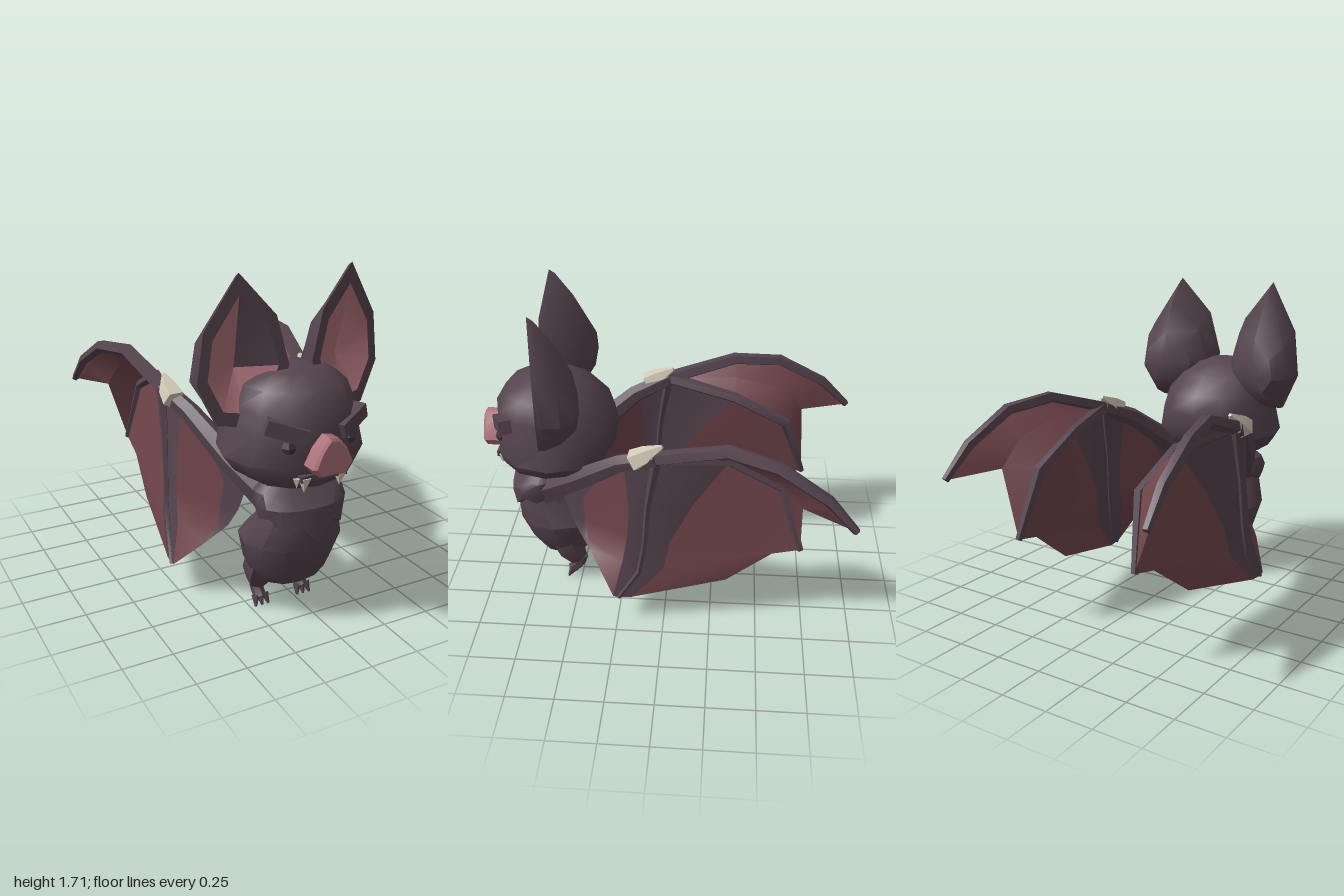
import * as THREE from 'three';
import { toCreasedNormals } from 'three/addons/utils/BufferGeometryUtils.js';

const V = (x, y, z) => new THREE.Vector3(x, y, z);

// Geometry from points and triangle indices
function build(points, index) {
  const g = new THREE.BufferGeometry().setFromPoints(points);
  g.setIndex(index);
  return g;
}

// Skin over closed rings, with fan caps at the ends
function loft(rings, capStart = true) {
  const n = rings[0].length, pts = rings.flat(), idx = [];
  for (let r = 0; r < rings.length - 1; r++) for (let i = 0; i < n; i++) {
    const a = r * n + i, b = r * n + (i + 1) % n;
    idx.push(a, b, b + n, a, b + n, a + n);
  }
  const cap = (ring, base, flip) => {
    const c = pts.push(ring.reduce((s, p) => s.add(p), V(0, 0, 0)).divideScalar(n)) - 1;
    for (let i = 0; i < n; i++) {
      const a = base + i, b = base + (i + 1) % n;
      idx.push(c, flip ? b : a, flip ? a : b);
    }
  };
  if (capStart) cap(rings[0], 0, true);
  cap(rings.at(-1), (rings.length - 1) * n, false);
  return build(pts, idx);
}

// Rounded-square horizontal ring: height, half width, back z, front z
function ring([y, w, zb, zf], n, power, dy = () => 0) {
  const sp = v => Math.sign(v) * Math.abs(v) ** power;
  return Array.from({ length: n }, (_, i) => {
    const t = i / n * Math.PI * 2;
    return V(w * sp(Math.sin(t)), y + dy(i), (zb + zf) / 2 + (zf - zb) / 2 * sp(Math.cos(t)));
  });
}

// Tapered limb along a path
function limb(path, radii, n = 6) {
  return loft(path.map((p, k) => {
    const t = path[Math.min(k + 1, path.length - 1)].clone().sub(path[Math.max(k - 1, 0)]).normalize();
    const u = t.clone().cross(V(1, 0, 0)).normalize(), v = t.clone().cross(u);
    return Array.from({ length: n }, (_, i) => {
      const a = i / n * Math.PI * 2;
      return p.clone().addScaledVector(u, radii[k] * Math.cos(a)).addScaledVector(v, radii[k] * Math.sin(a));
    });
  }));
}

// Open sheet between neighbouring polylines
function sheet(...lines) {
  const n = lines[0].length, idx = [];
  for (let l = 0; l < lines.length - 1; l++) for (let i = 0; i < n - 1; i++) {
    const a = l * n + i, b = a + n;
    idx.push(a, b, a + 1, b, b + 1, a + 1);
  }
  return build(lines.flat(), idx);
}

export function createModel() {
  const material = (name, color) => {
    const m = new THREE.MeshStandardMaterial({ color });
    m.name = name;
    return m;
  };
  const fur = material('plumFur', 0x55444e), skin = material('wingRed', 0x70454b);
  const pink = material('pinkSkin', 0xac7178), bone = material('bone', 0xd0c9b6);
  const dark = material('eyeDark', 0x40343c);
  fur.side = skin.side = THREE.DoubleSide;

  const model = new THREE.Group();
  const root = new THREE.Group();
  root.name = 'bat';
  root.position.x = -0.07;
  model.add(root);

  // Adds a part; side -1 mirrors it across x
  const add = (name, geo, mat, side = 1, crease = 0.65) => {
    if (side < 0) {
      geo.scale(-1, 1, 1);
      geo.index.array.reverse();
    }
    const mesh = new THREE.Mesh(toCreasedNormals(geo, crease), mat);
    mesh.name = name;
    root.add(mesh);
  };

  // Head
  add('head', loft([
    [0.71, 0.12, 0.5, 0.74], [0.755, 0.23, 0.43, 0.87], [0.8, 0.3, 0.34, 0.91], [0.87, 0.35, 0.29, 0.925],
    [1.0, 0.315, 0.27, 0.925], [1.1, 0.29, 0.3, 0.92], [1.2, 0.25, 0.4, 0.86], [1.26, 0.16, 0.5, 0.76], [1.28, 0.06, 0.6, 0.69],
  ].map(r => ring(r, 12, 0.95))), fur, 1, 0.8);

  // Body and chest ruff with a pointed hem
  add('body', loft([
    [0.16, 0.1, 0.5, 0.68], [0.2, 0.17, 0.44, 0.74], [0.27, 0.21, 0.4, 0.79], [0.42, 0.25, 0.4, 0.845],
    [0.53, 0.21, 0.51, 0.85], [0.6, 0.19, 0.57, 0.84], [0.73, 0.16, 0.6, 0.78],
  ].map(r => ring(r, 12, 0.9))), fur);
  const hem = i => [-0.07, 0.03, -0.01, 0.05, 0.03, 0.06, 0.03, 0.06, 0.03][Math.min(i, 16 - i)];
  add('chestRuff', loft([
    ring([0.53, 0.19, 0.55, 0.85], 16, 0.9, hem), ring([0.54, 0.215, 0.54, 0.875], 16, 0.9, hem),
    ring([0.64, 0.23, 0.56, 0.865], 16, 0.9), ring([0.7, 0.225, 0.58, 0.8], 16, 0.9),
    ring([0.76, 0.15, 0.6, 0.75], 16, 0.9),
  ]), fur);

  // Nose
  const noseShape = new THREE.Shape([[-0.1, 0.89], [-0.065, 0.85], [0.07, 0.85], [0.105, 0.9], [0.07, 0.975], [0.03, 1.02],
    [-0.02, 1.03], [-0.065, 0.97]].map(p => new THREE.Vector2(...p)));
  const nose = new THREE.ExtrudeGeometry(noseShape, {
    depth: 0.08, bevelEnabled: true, bevelThickness: 0.012, bevelSize: 0.012, bevelOffset: -0.012, bevelSegments: 1,
  });
  add('nose', nose.translate(0, 0, 0.9), pink);
  add('upperLip', new THREE.BoxGeometry(0.24, 0.03, 0.04).translate(0, 0.825, 0.9), fur);

  // Ear outline, clockwise from the inner edge
  const outline = [[0.06, 1.29], [0.12, 1.52], [0.29, 1.715], [0.445, 1.46], [0.475, 1.22], [0.385, 1.03], [0.25, 1.01], [0.12, 1.09]];
  const earRing = (sx, sy, depth) => outline.map(([x, y]) => {
    const px = 0.27 + (x - 0.27) * sx;
    return V(px, 1.3 + (y - 1.3) * sy - depth * 0.25, 0.71 - 0.21 * px - depth);
  });

  for (const s of [1, -1]) {
    const tag = s > 0 ? 'left' : 'right';

    // Ear shell and cavity
    add(tag + 'EarShell', loft([earRing(0.77, 0.77, 0), earRing(1, 1, 0), earRing(1, 0.97, 0.03),
      earRing(0.92, 0.74, 0.12), earRing(0.65, 0.42, 0.2), earRing(0.25, 0.15, 0.22)], false), fur, s);
    const inner = earRing(0.77, 0.77, 0.002), hollow = V(0.27, 1.27, 0.56);
    const fan = keep => {
      const idx = [];
      for (let i = 0; i < 8; i++) if (keep(i)) idx.push(8, (i + 1) % 8, i);
      return build([...inner, hollow], idx);
    };
    add(tag + 'EarHollow', fan(i => s > 0 || i > 1), pink, s);
    if (s < 0) add(tag + 'EarHollowFur', fan(i => i <= 1), fur, s);

    // Face
    const brow = new THREE.BoxGeometry(0.19, 0.07, 0.07).rotateZ(0.3).rotateY(0.42);
    add(tag + 'Brow', brow.translate(0.165, 1.045, 0.858), fur, s);
    add(tag + 'Eye', new THREE.SphereGeometry(0.037, 6, 4).translate(0.157, 0.972, 0.868), dark, s);
    add(tag + 'Fang', new THREE.ConeGeometry(0.033, 0.075, 5).rotateX(Math.PI).translate(0.093, 0.79, 0.9), bone, s);
    add(tag + 'SmallFang', new THREE.ConeGeometry(0.02, 0.05, 4).rotateX(Math.PI).translate(0.125, 0.8, 0.888), bone, s);

    // Leg, foot and toes
    add(tag + 'Thigh', limb([V(0.12, 0.29, 0.59), V(0.125, 0.21, 0.56), V(0.12, 0.13, 0.52)], [0.09, 0.088, 0.055]), fur, s);
    add(tag + 'Foot', limb([V(0.12, 0.15, 0.5), V(0.12, 0.09, 0.515), V(0.12, 0.045, 0.555)], [0.04, 0.033, 0.033]), fur, s);
    for (const d of [-1, 0, 1])
      add(tag + 'Toe', limb([V(0.12 + d * 0.025, 0.06, 0.55), V(0.12 + d * 0.036, 0.012, 0.575)], [0.022, 0.006], 5), fur, s);

    // Wing points; the right wing sits closer and swings inward toward its tip
    const w = (x, y, z) => s > 0 ? V(x + 0.07, y, z)
      : V(x + 0.045 - 0.105 * Math.max(0, 0.1 - z), y, z < 0 ? z * 1.06 : z);
    const line = list => list.map(p => w(...p));
    const wrist = [0.355, 1.04, 0.03];
    const arm = line([[0.06, 0.62, 0.66], [0.19, 0.78, 0.46], [0.29, 0.96, 0.22], wrist]);
    const finger1 = line([wrist, [0.44, 1.15, -0.32], [0.52, 1.12, -0.56], [0.57, 0.98, -0.8], [0.6, 0.83, -0.94]]);
    const finger2 = line([wrist, [0.28, 0.99, -0.33], [0.29, 0.85, -0.6], [0.35, 0.5, -0.71]]);
    const finger3 = line([wrist, [0.365, 0.75, 0.08], [0.375, 0.5, 0.1], [0.385, 0.33, 0.13], [0.42, 0.17, 0.24]]);
    const bodyEdge = line([[0.25, 0.87, 0.36], [0.16, 0.64, 0.55], [0.18, 0.54, 0.52], [0.21, 0.44, 0.47],
      [0.31, s > 0 ? 0.4 : 0.33, 0.4]]);
    const frontSeam = line([[0.33, 0.96, 0.2], [0.35, 0.72, 0.18], [0.36, 0.55, 0.19], [0.37, 0.38, 0.22], [0.42, 0.18, 0.27]]);
    const furSeam = bodyEdge.map((p, i) => p.clone().lerp(frontSeam[i], [0.3, 0.3, 0.28, 0.2, 0][i]));
    const rearSeam = line([[0.28, 0.99, -0.33], [0.32, 0.75, -0.155], [0.35, 0.51, -0.03], [0.37, 0.35, 0], [0.41, 0.17, 0.17]]);
    const rearEdge = line([[0.28, 0.93, -0.45], [0.29, 0.85, -0.6], [0.35, 0.5, -0.71], [0.345, 0.49, -0.6], [0.36, 0.28, -0.33]]);
    const upperMid = line([wrist, [0.37, 1.07, -0.33], [0.41, 1.0, -0.6], [0.46, 0.85, -0.69], [0.55, 0.91, -0.79]]);

    // Wing bones
    add(tag + 'WingArm', limb(arm, [0.09, 0.065, 0.05, 0.045]), fur, s);
    add(tag + 'UpperFinger', limb(finger1, [0.04, 0.036, 0.034, 0.03, 0.02], 5), fur, s);
    add(tag + 'MiddleFinger', limb(finger2, [0.035, 0.03, 0.03, 0.018], 5), fur, s);
    add(tag + 'LowerFinger', limb(finger3, [0.03, 0.018, 0.016, 0.015, 0.01], 5), fur, s);
    add(tag + 'WingClaw', limb(line([[0.34, 1.01, 0.15], [0.345, 1.05, 0.085], [0.345, 1.105, 0.005]]),
      [0.06, 0.05, 0.01], 5), bone, s);

    // Wing membranes
    add(tag + 'InnerMembrane', sheet(bodyEdge, furSeam), fur, s, 1.5);
    add(tag + 'FrontMembrane', sheet(furSeam, frontSeam), skin, s, 1.5);
    add(tag + 'FurredMembrane', sheet(frontSeam, finger3, rearSeam), fur, s, 1.5);
    add(tag + 'RearMembrane', sheet(rearSeam, rearEdge), skin, s, 1.5);
    add(tag + 'UpperMembrane', sheet(finger1, upperMid), skin, s, 1.5);
    add(tag + 'TipMembrane', sheet(upperMid.slice(0, 4), finger2), skin, s, 1.5);
  }
  return model;
}
